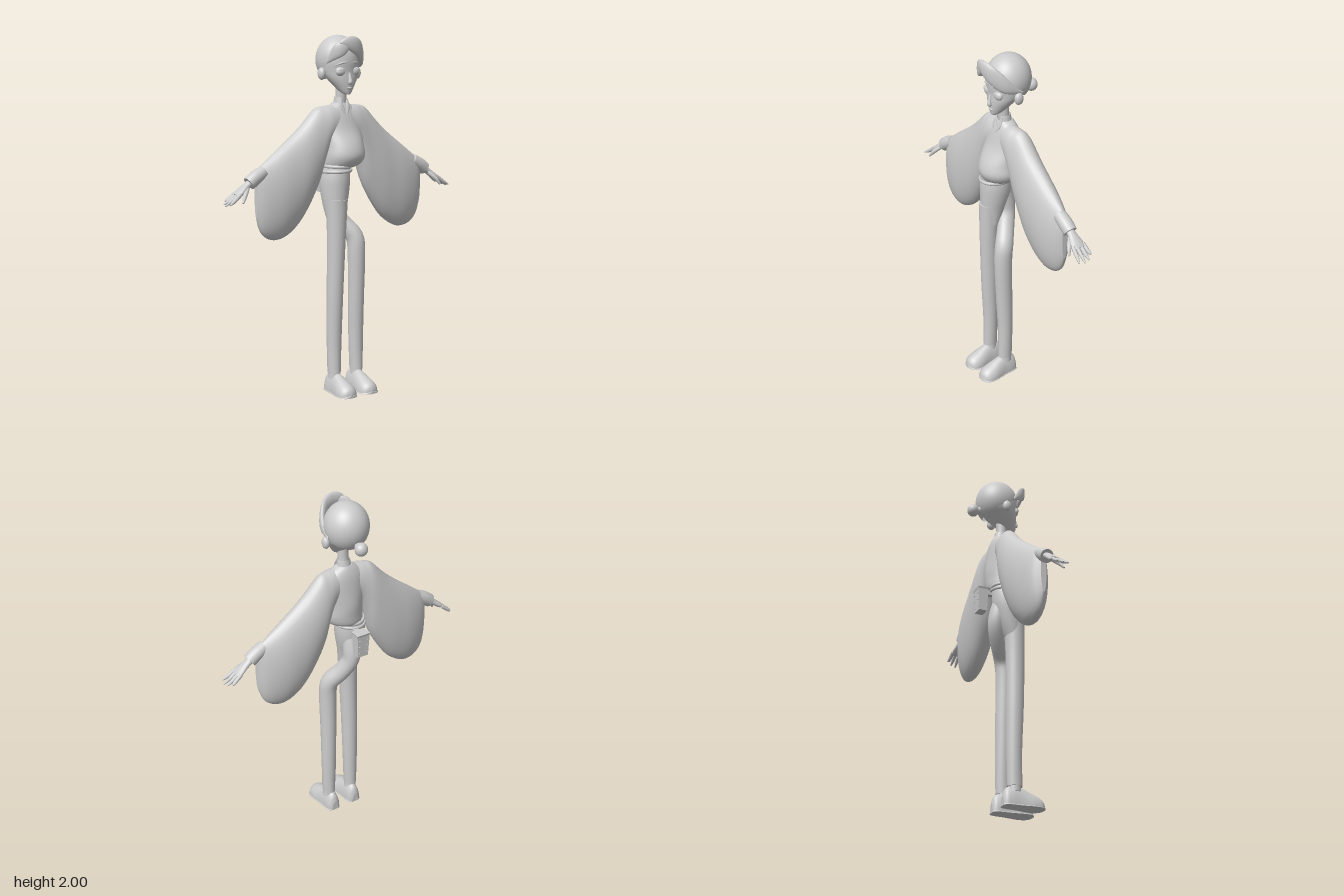
import * as THREE from 'three';

const V = (x, y, z) => new THREE.Vector3(x, y, z);
const X = V(1, 0, 0), Y = V(0, 1, 0), Z = V(0, 0, 1);

// Catmull-Rom interpolation of every column of a station table
function smooth(rows, k = 4) {
  const out = [], at = i => rows[Math.min(Math.max(i, 0), rows.length - 1)];
  for (let i = 0; i < rows.length - 1; i++) {
    for (let s = 0; s < k; s++) {
      const t = s / k;
      out.push(rows[0].map((_, c) => {
        const [a, b, d, e] = [at(i - 1)[c], at(i)[c], at(i + 1)[c], at(i + 2)[c]];
        return 0.5 * (2 * b + (d - a) * t + (2 * a - 5 * b + 4 * d - e) * t * t + (3 * b - a - 3 * d + e) * t ** 3);
      }));
    }
  }
  out.push(rows[rows.length - 1]);
  return out;
}

// Elliptical sections [x, y, z, a, b]: a lies along ref, b across it; dir fixes the section plane
function sweep(table, ref, dir, n = 24, floor = -Infinity) {
  const rows = smooth(table), pos = [], idx = [];
  const centre = rows.map(r => V(r[0], r[1], r[2]));
  const point = v => pos.push(v.x, Math.max(v.y, floor), v.z);
  const ring = i => {
    const t = dir ? dir.clone() : centre[Math.min(i + 1, rows.length - 1)].clone().sub(centre[Math.max(i - 1, 0)]).normalize();
    const u = ref.clone().addScaledVector(t, -ref.dot(t)).normalize(), v = t.clone().cross(u);
    for (let j = 0; j < n; j++) {
      const q = j / n * Math.PI * 2;
      point(centre[i].clone().addScaledVector(u, Math.max(rows[i][3], 0.001) * Math.cos(q))
        .addScaledVector(v, Math.max(rows[i][4], 0.001) * Math.sin(q)));
    }
  };
  rows.forEach((_, i) => ring(i));
  for (let i = 0; i < rows.length - 1; i++) {
    for (let j = 0; j < n; j++) {
      const a = i * n + j, b = i * n + (j + 1) % n;
      idx.push(a, b, a + n, b, b + n, a + n);
    }
  }
  for (const i of [0, rows.length - 1]) {
    const s = pos.length / 3;
    ring(i);
    point(centre[i]);
    for (let j = 0; j < n; j++) {
      const k = s + (j + 1) % n;
      if (i) idx.push(s + n, s + j, k); else idx.push(s + n, k, s + j);
    }
  }
  const g = new THREE.BufferGeometry();
  g.setAttribute('position', new THREE.Float32BufferAttribute(pos, 3));
  g.setIndex(idx);
  g.computeVertexNormals();
  return g;
}

export function createModel() {
  const model = new THREE.Group();
  const grey = new THREE.MeshStandardMaterial({ color: 0xcccccc });
  grey.name = 'lightGrey';
  grey.side = THREE.DoubleSide;
  const add = (name, geo, x = 0, y = 0, z = 0, parent = model) => {
    const m = new THREE.Mesh(geo, grey);
    m.name = name;
    m.position.set(x, y, z);
    parent.add(m);
    return m;
  };
  const ball = (name, x, y, z, a, b, c) => add(name, new THREE.SphereGeometry(1, 24, 16).scale(a, b, c), x, y, z);

  // Head, neck and hair
  add('head', sweep([[0, 1.676, 0.062, 0.014, 0.014], [0, 1.69, 0.048, 0.032, 0.032], [0, 1.72, 0.03, 0.056, 0.055],
    [0, 1.76, 0.01, 0.086, 0.076], [0, 1.8, -0.012, 0.106, 0.096], [0, 1.86, -0.02, 0.114, 0.108],
    [0, 1.92, -0.025, 0.1, 0.1], [0, 1.96, -0.03, 0.06, 0.06]], X, Y, 32));
  add('neck', sweep([[0, 1.58, -0.01, 0.036, 0.036], [0, 1.66, 0, 0.03, 0.03], [0, 1.75, 0, 0.03, 0.035]], X, Y));
  add('hairCap', new THREE.SphereGeometry(1, 32, 20, 0, Math.PI * 2, 0, Math.PI * 0.62)
    .rotateX(-0.5).scale(0.122, 0.135, 0.124), 0, 1.864, -0.032);
  add('sweptFringe', sweep([[-0.08, 1.955, 0.105, 0.004, 0.004], [-0.05, 1.958, 0.115, 0.028, 0.012],
    [0, 1.95, 0.118, 0.043, 0.017], [0.05, 1.92, 0.1, 0.045, 0.018], [0.098, 1.86, 0.045, 0.035, 0.016],
    [0.118, 1.82, -0.04, 0.004, 0.004]], Y));
  add('shortFringe', sweep([[-0.015, 1.95, 0.125, 0.004, 0.004], [-0.055, 1.935, 0.11, 0.035, 0.014],
    [-0.09, 1.905, 0.085, 0.035, 0.014], [-0.115, 1.85, 0.03, 0.005, 0.004]], Y));
  ball('bun', 0.005, 1.787, -0.178, 0.036, 0.037, 0.034);
  ball('bunTie', 0, 1.79, -0.145, 0.022, 0.022, 0.02);

  // Face
  add('nose', sweep([[0, 1.795, 0.082, 0.007, 0.006], [0, 1.76, 0.09, 0.01, 0.01], [0, 1.742, 0.092, 0.014, 0.012],
    [0, 1.732, 0.084, 0.008, 0.006]], X, null, 12));
  ball('lips', 0, 1.712, 0.081, 0.018, 0.007, 0.008);
  for (const s of [1, -1]) {
    ball('eye', s * 0.046, 1.8, 0.066, 0.03, 0.023, 0.018);
    add('eyelid', new THREE.SphereGeometry(1, 20, 8, 0, Math.PI * 2, 0, Math.PI / 2).scale(0.033, 0.022, 0.021), s * 0.046, 1.806, 0.066);
    add('brow', sweep([[s * 0.018, 1.852, 0.09, 0.003, 0.003], [s * 0.05, 1.848, 0.08, 0.006, 0.005],
      [s * 0.082, 1.832, 0.058, 0.002, 0.002]], Y, null, 8));
    ball('ear', s * 0.118, 1.79, -0.015, 0.02, 0.034, 0.026);
  }

  // Blouse with bell sleeves and an open collar
  add('blouse', sweep([[-0.025, 1.275, 0.01, 0.085, 0.085], [-0.01, 1.295, 0.018, 0.11, 0.104], [0, 1.34, 0.026, 0.122, 0.116],
    [0, 1.4, 0.018, 0.118, 0.11], [0, 1.48, 0, 0.124, 0.084], [0, 1.56, -0.008, 0.12, 0.066],
    [0, 1.605, -0.01, 0.085, 0.052], [0, 1.63, -0.01, 0.042, 0.04]], X, Y, 36));
  const gap = 0.35;
  add('collar', new THREE.CylinderGeometry(0.034, 0.044, 0.06, 24, 1, true, gap, Math.PI * 2 - 2 * gap), 0, 1.632, -0.005);
  const sleeve = [[0, 1.622, 1.44, 0, 0.055], [0.08, 1.618, 1.4, -0.005, 0.068], [0.12, 1.613, 1.31, -0.01, 0.075],
    [0.165, 1.6, 1.16, -0.015, 0.082], [0.25, 1.515, 1.015, -0.015, 0.09], [0.32, 1.455, 0.94, -0.015, 0.09],
    [0.4, 1.395, 0.9, -0.013, 0.085], [0.47, 1.343, 0.908, -0.01, 0.068], [0.52, 1.305, 0.95, -0.006, 0.045],
    [0.55, 1.28, 1.03, 0, 0.016]];
  for (const s of [1, -1]) {
    add('lapel', sweep([[s * 0.022, 1.65, 0.026, 0.004, 0.004], [s * 0.02, 1.61, 0.04, 0.012, 0.004],
      [s * 0.003, 1.565, 0.055, 0.003, 0.003]], X, null, 10));
    add('bellSleeve', sweep(sleeve.map(([x, t, b, z, h]) => [s * x, (t + b) / 2, z, (t - b) / 2, h]), Y, V(s, 0, 0), 32));

    // Forearm, cuff and hand
    add('cuff', sweep([[s * 0.5, 1.28, 0, 0.035, 0.035], [s * 0.55, 1.252, 0, 0.039, 0.039],
      [s * 0.592, 1.222, 0, 0.037, 0.038]], Z, null, 20));
    add('palm', sweep([[s * 0.575, 1.235, 0, 0.024, 0.02], [s * 0.61, 1.21, 0, 0.026, 0.018],
      [s * 0.65, 1.182, 0.002, 0.038, 0.016], [s * 0.675, 1.164, 0.002, 0.036, 0.012]], Z, null, 16));
    [[0.034, 0.05, 0.735], [0.012, 0.018, 0.745], [-0.011, -0.012, 0.738], [-0.031, -0.042, 0.718]].forEach(([z0, z1, x]) =>
      add('finger', sweep([[s * 0.66, 1.175, z0, 0.011, 0.011], [s * 0.705, 1.141, (z0 + z1) / 2, 0.01, 0.01],
        [s * x, 1.116 + (0.745 - x) * 0.7, z1, 0.004, 0.004]], Z, null, 10)));
    add('thumb', sweep([[s * 0.61, 1.2, 0.015, 0.013, 0.012], [s * 0.642, 1.165, 0.045, 0.012, 0.012],
      [s * 0.665, 1.13, 0.062, 0.005, 0.005]], Z, null, 10));
  }

  // Trousers: hips sit over the straight leg, the other thigh swings behind and out
  add('hips', sweep([[-0.06, 0.98, 0.045, 0.055, 0.05], [-0.06, 1.06, 0.03, 0.066, 0.07], [-0.055, 1.15, 0.018, 0.08, 0.086],
    [-0.052, 1.22, 0.015, 0.084, 0.09], [-0.048, 1.29, 0.012, 0.076, 0.085]], X, Y, 32));
  add('straightLeg', sweep([[-0.077, 0.11, 0.043, 0.036, 0.042], [-0.075, 0.3, 0.041, 0.042, 0.043],
    [-0.074, 0.55, 0.047, 0.046, 0.049], [-0.068, 0.85, 0.053, 0.051, 0.053], [-0.062, 1.1, 0.05, 0.062, 0.06]], X, Y));
  add('bentLeg', sweep([[0.075, 0.11, 0.043, 0.036, 0.042], [0.074, 0.3, 0.041, 0.042, 0.043], [0.071, 0.55, 0.047, 0.045, 0.049],
    [0.07, 0.78, 0.052, 0.049, 0.052], [0.063, 0.88, 0.04, 0.05, 0.052], [0.015, 0.955, -0.005, 0.046, 0.05],
    [-0.022, 1.03, -0.037, 0.046, 0.05], [-0.035, 1.1, -0.038, 0.052, 0.052], [-0.045, 1.2, -0.01, 0.055, 0.055]], X));

  // Two belt bands
  [[1.258, 0.084, 0.096], [1.281, 0.078, 0.092]].forEach(([y, a, b], i) => {
    const m = add('belt', new THREE.TorusGeometry(1, 0.08, 10, 40).rotateX(Math.PI / 2).scale(a, 0.12, b), -0.047, y, 0.013);
    m.rotation.z = i ? -0.06 : 0.03;
  });

  // Studded pouch at the back
  const pouch = new THREE.Group();
  pouch.name = 'pouch';
  pouch.position.set(-0.025, 1.19, -0.137);
  model.add(pouch);
  const box = (w, d, h) => new THREE.CylinderGeometry(w, w * 0.82, h, 4, 1).rotateY(Math.PI / 4).scale(1, 1, d).toNonIndexed();
  const body = box(0.056, 0.72, 0.13), lid = box(0.06, 0.75, 0.022);
  [body, lid].forEach(g => g.computeVertexNormals());
  add('pouchBody', body, 0, -0.005, 0, pouch);
  add('pouchLid', lid, 0, 0.06, 0, pouch);
  add('pouchLoop', new THREE.BoxGeometry(0.03, 0.025, 0.06), 0, 0.055, 0.045, pouch);
  for (const x of [-0.024, 0.024]) for (const y of [-0.045, -0.005, 0.035])
    add('stud', new THREE.SphereGeometry(0.004, 8, 6), x, y, -0.0265 - y * 0.04, pouch);

  // Shoes
  const shoe = [[-0.026, 0.02, 0.05], [-0.012, 0.037, 0.09], [0.02, 0.043, 0.108], [0.06, 0.045, 0.11], [0.095, 0.05, 0.098],
    [0.14, 0.057, 0.078], [0.18, 0.053, 0.06], [0.203, 0.035, 0.042], [0.212, 0.01, 0.02]];
  for (const s of [1, -1]) {
    const x = s * 0.072;
    add('shoe', sweep(shoe.map(([z, w, h]) => [x, 0.004, z, w, h]), X, Z, 28, 0.004));
    add('sole', sweep(shoe.map(([z, w]) => [x, 0, z * 1.01, w + 0.003, 0.016]), X, Z, 28, 0));
    add('ankle', new THREE.CylinderGeometry(0.033, 0.036, 0.06, 20), s * 0.076, 0.11, 0.042);
  }
  return model;
}
